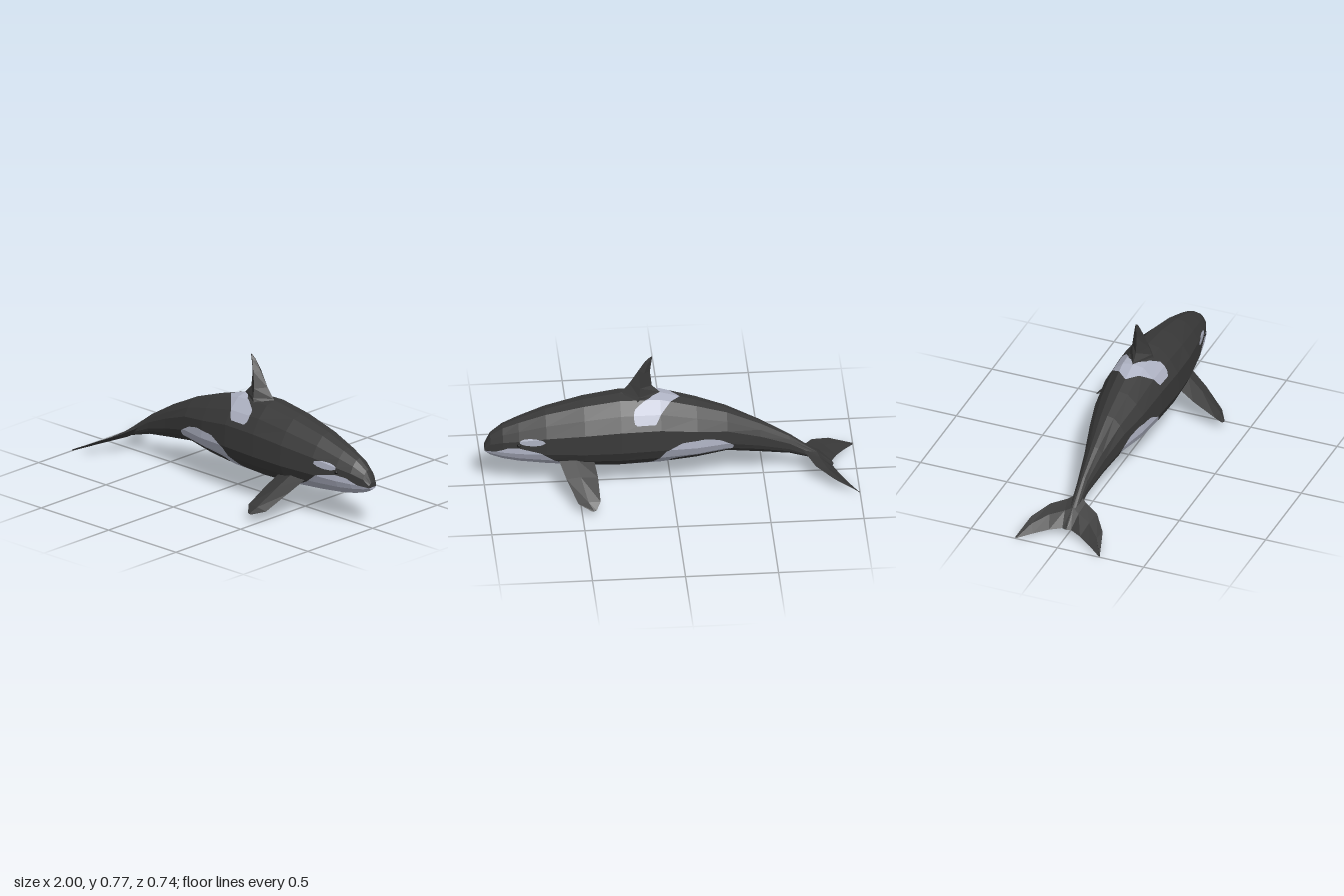
import * as THREE from 'three';

const black = new THREE.MeshStandardMaterial({ color: 0x393939 });
black.name = 'charcoal skin';
const pale = new THREE.MeshStandardMaterial({ color: 0xb0b4c5 });
pale.name = 'pale markings';
const eyeBlack = new THREE.MeshStandardMaterial({ color: 0x161616 });
eyeBlack.name = 'eye black';

const V = (x, y, z) => new THREE.Vector3(x, y, z);

// Closed loft through rings of equal length, as a list of outward triangles
function loft(rings) {
  const tris = [];
  const n = rings[0].length;
  for (let i = 0; i < rings.length - 1; i++) {
    for (let j = 0; j < n; j++) {
      const k = (j + 1) % n;
      const a = rings[i][j], b = rings[i][k], c = rings[i + 1][k], d = rings[i + 1][j];
      tris.push([a, b, c], [a, c, d]);
    }
  }
  const first = rings[0], last = rings[rings.length - 1];
  for (let j = 1; j < n - 1; j++) {
    tris.push([first[0], first[j + 1], first[j]], [last[0], last[j], last[j + 1]]);
  }
  const centre = rings[0][0];
  let volume = 0;
  for (const [a, b, c] of tris) {
    volume += a.clone().sub(centre).dot(b.clone().sub(centre).cross(c.clone().sub(centre)));
  }
  return volume < 0 ? tris.map(([a, b, c]) => [a, c, b]) : tris;
}

// Unshared corners give crisp flat facets
function facetMesh(tris, material, name) {
  const geometry = new THREE.BufferGeometry().setFromPoints(tris.flat());
  geometry.computeVertexNormals();
  const mesh = new THREE.Mesh(geometry, material);
  mesh.name = name;
  return mesh;
}

// Signed distance to a polygon, positive inside
function inside(poly, x, y) {
  let d = Infinity, within = false;
  poly.forEach(([ax, ay], i) => {
    const [bx, by] = poly[(i + 1) % poly.length];
    const ex = bx - ax, ey = by - ay;
    const t = THREE.MathUtils.clamp(((x - ax) * ex + (y - ay) * ey) / (ex * ex + ey * ey), 0, 1);
    d = Math.min(d, Math.hypot(x - ax - t * ex, y - ay - t * ey));
    if ((ay > y) !== (by > y) && x < ax + (y - ay) * ex / ey) within = !within;
  });
  return within ? d : -d;
}

// Marking outlines: chin and flank in side view, belly and saddle in plan (x, |z|)
const chin = [[1.02, 0.235], [0.94, 0.25], [0.88, 0.28], [0.82, 0.287], [0.7, 0.265],
  [0.62, 0.205], [0.55, 0.17], [0.5, 0.1], [1.02, 0.1]];
const flank = [[-0.335, 0.25], [-0.33, 0.225], [-0.3, 0.207], [-0.1, 0.205], [0, 0.185], [0.04, 0.1],
  [0.14, 0.1], [0.08, 0.19], [0.035, 0.265], [-0.055, 0.31], [-0.18, 0.315], [-0.26, 0.295]];
const belly = [[0.7, -0.1], [0.7, 0.08], [0.45, 0.072], [0.1, 0.08], [-0.05, 0.045],
  [-0.25, 0.04], [-0.42, 0], [-0.42, -0.1]];
const saddle = [[-0.05, 0], [0.02, 0.075], [0.09, 0.15], [0.15, 0.19], [0.205, 0.19],
  [0.205, 0.1], [0.12, 0.05], [0.08, 0], [0.08, -0.05], [-0.03, -0.05]];

function marking({ x, y, z }) {
  const w = Math.abs(z);
  const eyePatch = 0.022 * (1 - Math.hypot((x - 0.75) / 0.07, (y - 0.328 + (x - 0.75) * 0.06) / 0.021));
  return Math.max(
    inside(chin, x, y),
    inside(flank, x, y),
    Math.min(inside(belly, x, w), 0.2 - y),
    Math.min(inside(saddle, x, w), y - 0.428),
    eyePatch,
  );
}

// Cuts triangles along the outline of the markings
function paint(tris, steps) {
  const skin = [], marks = [];
  const cut = (tri) => {
    const f = tri.map(marking);
    for (const [sign, out] of [[1, marks], [-1, skin]]) {
      const poly = [];
      for (let i = 0; i < 3; i++) {
        const j = (i + 1) % 3, a = f[i] * sign, b = f[j] * sign;
        if (a > 0) poly.push(tri[i]);
        if ((a > 0) !== (b > 0)) poly.push(tri[i].clone().lerp(tri[j], a / (a - b)));
      }
      for (let i = 1; i < poly.length - 1; i++) out.push([poly[0], poly[i], poly[i + 1]]);
    }
  };
  for (const [a, b, c] of tris) {
    const u = b.clone().sub(a).divideScalar(steps), v = c.clone().sub(a).divideScalar(steps);
    const at = (i, j) => a.clone().addScaledVector(u, i).addScaledVector(v, j);
    for (let i = 0; i < steps; i++) {
      for (let j = 0; j < steps - i; j++) {
        cut([at(i, j), at(i + 1, j), at(i, j + 1)]);
        if (i + j < steps - 1) cut([at(i + 1, j), at(i + 1, j + 1), at(i, j + 1)]);
      }
    }
  }
  return { skin, marks };
}

// Blade with a diamond section; stations are [leading edge, trailing edge, half thickness]
function blade(stations, normal, side = 1) {
  const flip = (p) => V(p.x, p.y, p.z * side);
  return loft(stations.map(([lead, trail, t]) => {
    const a = V(...lead), b = V(...trail);
    const mid = a.clone().lerp(b, 0.45);
    return [a, mid.clone().addScaledVector(normal, t), b, mid.clone().addScaledVector(normal, -t)].map(flip);
  }));
}

export function createModel() {
  const model = new THREE.Group();
  model.name = 'whale';

  // Body sections: x, top, bottom, half width
  const sections = [
    [1, 0.265, 0.228, 0.028], [0.97, 0.33, 0.208, 0.046], [0.905, 0.38, 0.19, 0.075],
    [0.82, 0.417, 0.176, 0.1], [0.675, 0.47, 0.163, 0.132], [0.47, 0.52, 0.15, 0.165],
    [0.275, 0.55, 0.145, 0.176], [0.06, 0.545, 0.15, 0.167], [-0.136, 0.487, 0.165, 0.143],
    [-0.3, 0.428, 0.187, 0.105], [-0.48, 0.337, 0.158, 0.062], [-0.64, 0.24, 0.132, 0.034],
    [-0.79, 0.125, 0.085, 0.022], [-0.86, 0.062, 0.05, 0.01],
  ];
  // Half outline: fraction of width, fraction of height
  const half = [[0, 1], [0.36, 0.97], [0.71, 0.82], [0.97, 0.63], [1, 0.32], [0.85, 0.17], [0.43, 0], [0, 0]];
  const outline = [...half, ...half.slice(1, -1).reverse().map(([w, h]) => [-w, h])];
  const rings = sections.map(([x, top, bottom, width]) =>
    outline.map(([w, h]) => V(x, bottom + (top - bottom) * h, w * width)));
  const { skin, marks } = paint(loft(rings), 7);
  model.add(facetMesh(skin, black, 'body'), facetMesh(marks, pale, 'bodyMarkings'));

  // Dorsal fin
  model.add(facetMesh(blade([
    [[0.32, 0.51, 0], [0.03, 0.51, 0], 0.075],
    [[0.265, 0.555, 0], [0.06, 0.55, 0], 0.062],
    [[0.22, 0.61, 0], [0.1, 0.59, 0], 0.048],
    [[0.17, 0.69, 0], [0.11, 0.68, 0], 0.029],
    [[0.136, 0.743, 0], [0.102, 0.74, 0], 0.014],
    [[0.112, 0.766, 0], [0.097, 0.773, 0], 0.002],
  ], V(0, 0, 1)), black, 'dorsalFin'));

  for (const [side, label] of [[1, 'near'], [-1, 'far']]) {
    // Pectoral flipper
    model.add(facetMesh(blade([
      [[0.61, 0.215, 0.11], [0.42, 0.205, 0.11], 0.024],
      [[0.575, 0.15, 0.21], [0.405, 0.15, 0.205], 0.019],
      [[0.52, 0.063, 0.325], [0.402, 0.078, 0.335], 0.011],
      [[0.45, 0.04, 0.37], [0.425, 0.043, 0.365], 0.002],
    ], V(0, 0.8, 0.6), side), black, label + 'Flipper'));

    // Tail fluke
    model.add(facetMesh(blade([
      [[-0.69, 0.17, 0], [-0.877, 0.045, 0], 0.02],
      [[-0.727, 0.142, 0.052], [-0.87, 0.046, 0.025], 0.016],
      [[-0.77, 0.117, 0.135], [-0.9, 0.038, 0.09], 0.01],
      [[-0.865, 0.075, 0.207], [-0.945, 0.022, 0.165], 0.006],
      [[-0.998, 0.012, 0.245], [-1, 0.004, 0.243], 0.001],
    ], V(-0.5, 0.86, 0), side), black, label + 'Fluke'));

    // Eye
    const eye = new THREE.Mesh(new THREE.SphereGeometry(0.01, 8, 6), eyeBlack);
    eye.name = label + 'Eye';
    eye.position.set(0.822, 0.303, side * 0.096);
    model.add(eye);
  }
  return model;
}
